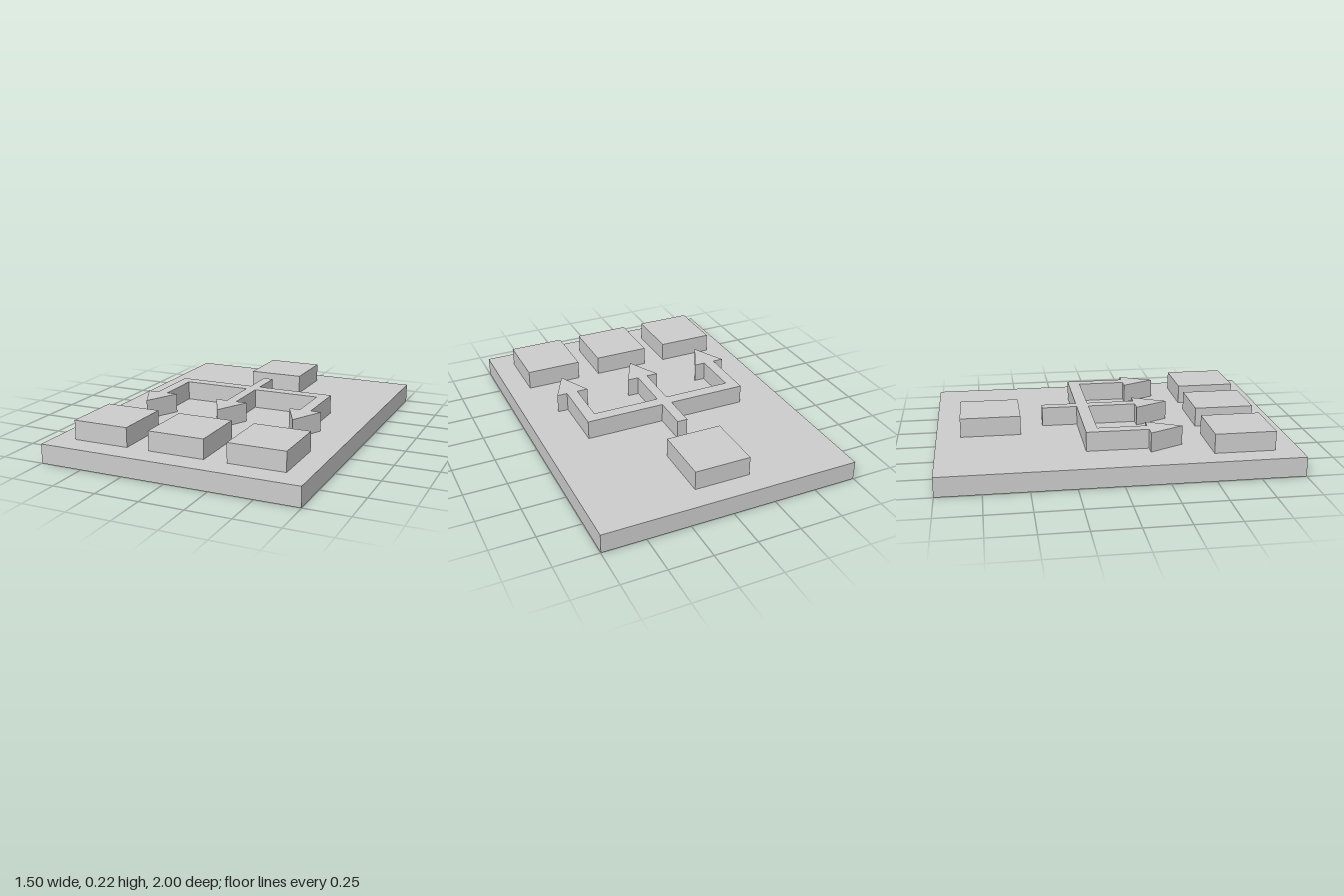
import * as THREE from 'three';

const BASE_H = 0.111, TOP = 0.222, SPACING = 0.456;

export function createModel() {
  const group = new THREE.Group();
  const material = new THREE.MeshStandardMaterial({ color: 0xcccccc, flatShading: true });

  function add(name, geometry, x, y, z) {
    const mesh = new THREE.Mesh(geometry, material);
    mesh.name = name;
    mesh.position.set(x, y, z);
    group.add(mesh);
    return mesh;
  }

  // Base slab
  add('basePlate', new THREE.BoxGeometry(1.496, BASE_H, 2), 0, BASE_H / 2, 0);

  // One block at the back, three in a row at the front
  const block = new THREE.BoxGeometry(0.325, TOP - BASE_H, 0.345);
  const blockY = (BASE_H + TOP) / 2;
  add('backBlock', block, -0.002, blockY, -0.688);
  ['rightBlock', 'middleBlock', 'leftBlock'].forEach((name, i) =>
    add(name, block, (i - 1) * SPACING - 0.002, blockY, 0.688));

  // Raised three-way arrow: half outline as [x, z], mirrored across x = 0
  const half = [
    [0.03, -0.38], [0.03, -0.175], [0.49, -0.175], [0.49, 0.175],
    [0.551, 0.175], [SPACING, 0.37], [0.361, 0.175], [0.425, 0.175],
    [0.425, -0.105], [0.03, -0.105], [0.03, 0.175], [0.097, 0.175],
  ];
  const mirrored = half.map(([x, z]) => [-x, z]).reverse();
  const outline = [...half, [0, 0.37], ...mirrored].map(([x, z]) => new THREE.Vector2(x, z));
  const arrow = new THREE.ExtrudeGeometry(new THREE.Shape(outline), {
    depth: TOP - BASE_H, bevelEnabled: false,
  });
  arrow.rotateX(Math.PI / 2);
  add('branchingArrow', arrow, 0, TOP, 0);

  return group;
}
